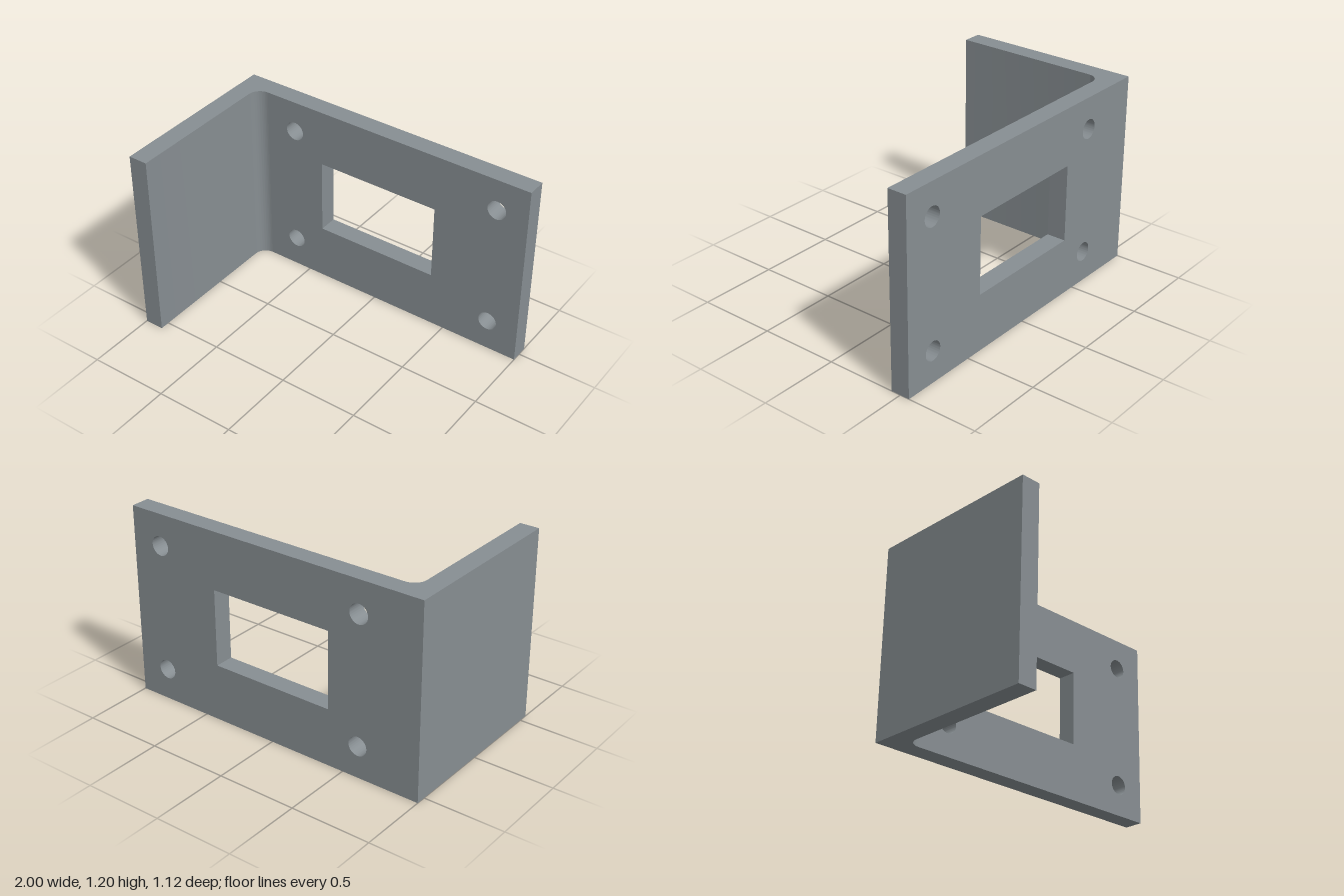
import * as THREE from 'three';
import { toCreasedNormals } from 'three/addons/utils/BufferGeometryUtils.js';

const HEIGHT = 1.2, THICK = 0.12, FILLET = 0.08, BACK = -0.56, FRONT = 0.56;
const LEFT = 1, RIGHT = -1;
const JOIN = RIGHT + THICK + FILLET; // x where the plate meets the bend

// Blue-grey steel
const material = new THREE.MeshStandardMaterial({ color: 0x878e92 });

function extrude(shape, depth) {
  const geometry = new THREE.ExtrudeGeometry(shape, { depth, bevelEnabled: false, curveSegments: 32 });
  return toCreasedNormals(geometry, 0.5);
}

function rectangle(path, x0, y0, x1, y1) {
  path.moveTo(x0, y0).lineTo(x1, y0).lineTo(x1, y1).lineTo(x0, y1).closePath();
  return path;
}

export function createModel() {
  const bracket = new THREE.Group();
  bracket.name = 'angleBracket';

  // Back plate with a rectangular window and four bolt holes
  const plate = rectangle(new THREE.Shape(), JOIN, 0, LEFT, HEIGHT);
  plate.holes.push(rectangle(new THREE.Path(), -0.4, 0.36, 0.4, 0.84));
  for (const x of [-0.6, 0.8]) {
    for (const y of [0.2, 1.0]) {
      plate.holes.push(new THREE.Path().absarc(x, y, 0.06, 0, Math.PI * 2, true));
    }
  }
  const backPlate = new THREE.Mesh(extrude(plate, THICK), material);
  backPlate.name = 'backPlate';
  backPlate.position.z = BACK;
  bracket.add(backPlate);

  // Side flange with the filleted inner corner, drawn from above and extruded upward
  const inner = RIGHT + THICK;
  const profile = new THREE.Shape();
  profile.moveTo(RIGHT, -FRONT);
  profile.lineTo(inner, -FRONT);
  profile.lineTo(inner, -BACK - THICK - FILLET);
  profile.absarc(JOIN, -BACK - THICK - FILLET, FILLET, Math.PI, Math.PI / 2, true);
  profile.lineTo(JOIN, -BACK);
  profile.lineTo(RIGHT, -BACK);
  profile.closePath();
  const sideFlange = new THREE.Mesh(extrude(profile, HEIGHT), material);
  sideFlange.name = 'sideFlange';
  sideFlange.rotation.x = -Math.PI / 2;
  bracket.add(sideFlange);

  return bracket;
}
